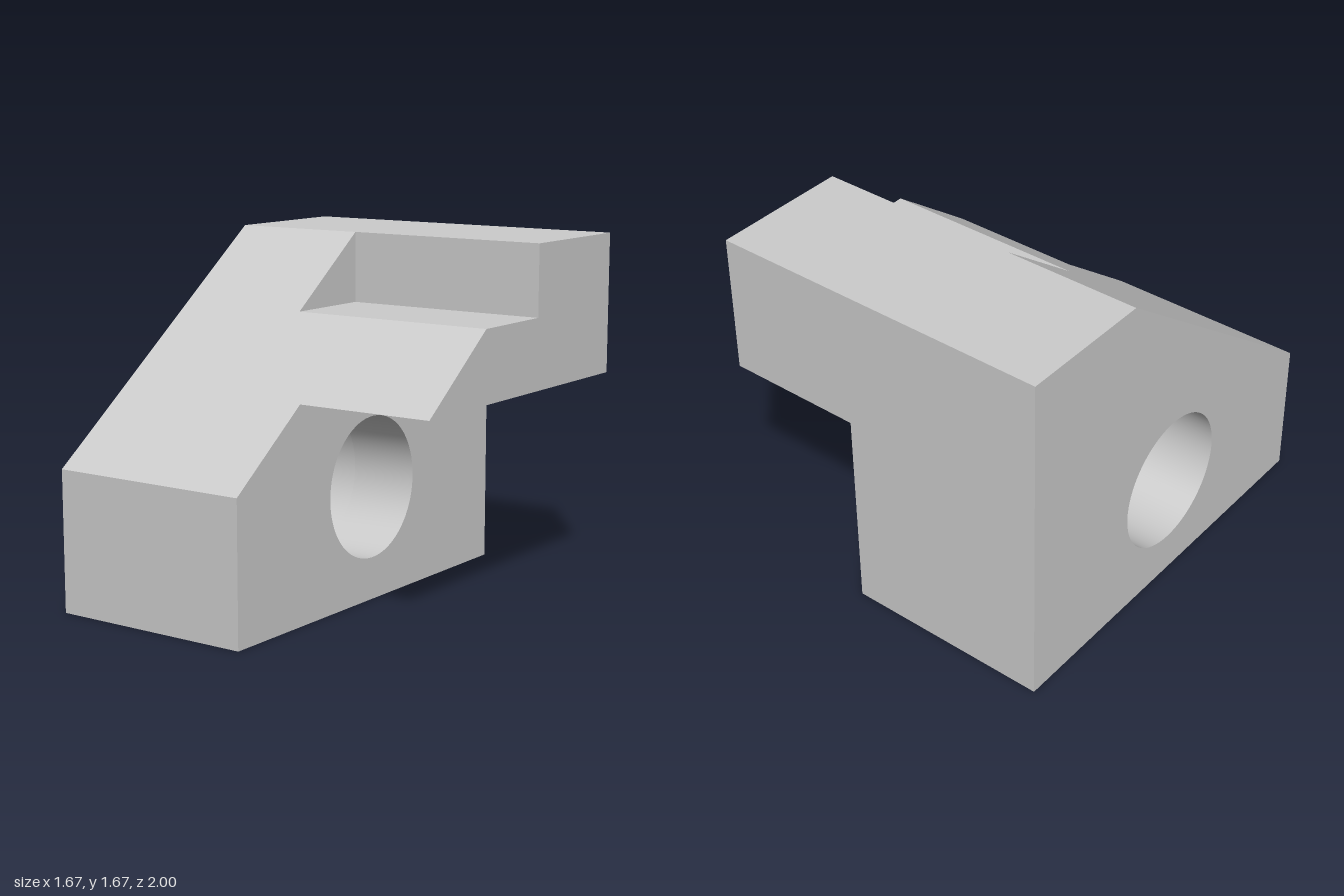
import * as THREE from 'three';
import { mergeGeometries, toCreasedNormals } from 'three/addons/utils/BufferGeometryUtils.js';

// Side profiles as [z, y] corners
const T = 1 / 3;
const FULL = [[1, 0], [1, 2 * T], [-T, 5 * T], [-1, 5 * T], [-1, 0]];
const NOTCH = [[T / 3, 4 * T], [-T, 4 * T], [-T, 5 * T]];
const NOTCHED = [[1, 0], [1, 2 * T], [T / 3, 4 * T], [-T, 4 * T], [-T, 5 * T], [-1, 5 * T], [-1, 0]];
const OVERHANG = [[5 * T / 3, 1], ...NOTCHED.slice(2, 6), [-1, 1]];
const LEG = [[1, 0], [1, 2 * T], [5 * T / 3, 1], [-1, 1], [-1, 0]];

// Stations along x
const X = [-5 * T / 2, -T / 2, T / 2, 5 * T / 2];

// Outline runs clockwise and the bore counterclockwise, so the bore wall faces inward
function profile(points, bored, dir = 1) {
  const shape = new THREE.Shape(points.map(([z, y]) => new THREE.Vector2(-dir * z, y)));
  if (bored) shape.holes.push(new THREE.Path().absarc(0, 1.6 * T, T, 0, Math.PI * 2, false));
  return shape;
}

// Flat end face at x, looking along +x (dir 1) or -x (dir -1)
function cap(points, bored, x, dir) {
  return new THREE.ShapeGeometry(profile(points, bored, dir), 36)
    .toNonIndexed()
    .rotateY(dir * Math.PI / 2)
    .translate(x, 0, 0);
}

// Outer and bore walls swept from x0 to x1, without end faces
function walls(points, bored, x0, x1) {
  const solid = new THREE.ExtrudeGeometry(profile(points, bored), {
    depth: x1 - x0, bevelEnabled: false, curveSegments: 36,
  });
  const { start, count } = solid.groups[1];
  const side = new THREE.BufferGeometry();
  for (const name of ['position', 'normal', 'uv']) {
    const { array, itemSize } = solid.getAttribute(name);
    const part = array.slice(start * itemSize, (start + count) * itemSize);
    side.setAttribute(name, new THREE.BufferAttribute(part, itemSize));
  }
  return side.rotateY(Math.PI / 2).translate(x0, 0, 0);
}

export function createModel() {
  const material = new THREE.MeshStandardMaterial({ color: 0xcccccc });
  const group = new THREE.Group();
  group.name = 'steppedBlock';

  const add = (name, parts) => {
    const mesh = new THREE.Mesh(toCreasedNormals(mergeGeometries(parts), 0.5), material);
    mesh.name = name;
    group.add(mesh);
  };

  // Full-height wedge with the bore
  add('wedgeBody', [
    cap(FULL, true, X[0], -1),
    walls(FULL, true, X[0], X[1]),
    cap(NOTCH, false, X[1], 1),
  ]);

  // Middle section, where the notch begins
  add('notchedBody', [
    walls(NOTCHED, true, X[1], X[2]),
    cap(LEG, true, X[2], 1),
  ]);

  // Overhanging arm carrying the rest of the notch
  add('overhangArm', [
    walls(OVERHANG, false, X[2], X[3]),
    cap(OVERHANG, false, X[3], 1),
  ]);

  return group;
}
